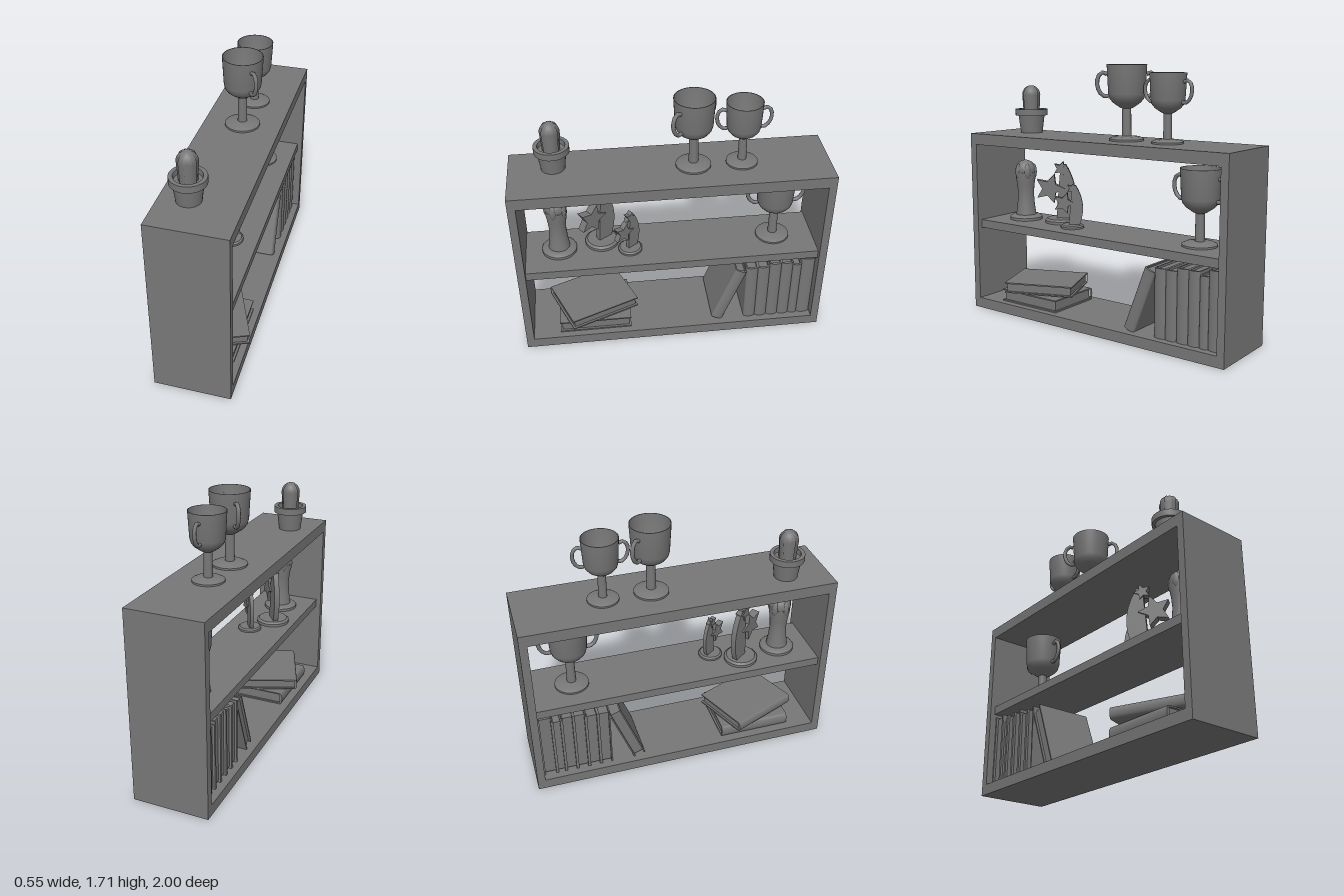
import * as THREE from 'three';
import { toCreasedNormals } from 'three/addons/utils/BufferGeometryUtils.js';

const mat = new THREE.MeshStandardMaterial({ color: 0x777777 });

function add(parent, name, geo, x = 0, y = 0, z = 0) {
  const m = new THREE.Mesh(geo, mat);
  m.name = name;
  m.position.set(x, y, z);
  parent.add(m);
  return m;
}

function group(parent, name, x, y, z) {
  const g = new THREE.Group();
  g.name = name;
  g.position.set(x, y, z);
  parent.add(g);
  return g;
}

const box = (w, h, d) => new THREE.BoxGeometry(w, h, d);

// Turned part from [radius, height] pairs, listed from the bottom up
function turned(pairs, segments = 32) {
  const pts = pairs.map(([r, y]) => new THREE.Vector2(r, y));
  return toCreasedNormals(new THREE.LatheGeometry(pts, segments), 0.6);
}

// Flat shape in the z-y plane, thick along x
function plate(shape, depth) {
  const g = new THREE.ExtrudeGeometry(shape, { depth, bevelEnabled: false, curveSegments: 16 });
  g.translate(0, 0, -depth / 2);
  return g.rotateY(-Math.PI / 2);
}

function starShape(r, turn) {
  const s = new THREE.Shape();
  for (let i = 0; i < 10; i++) {
    const a = turn + i * Math.PI / 5, k = i % 2 ? r * 0.48 : r;
    s[i ? 'lineTo' : 'moveTo'](Math.cos(a) * k, Math.sin(a) * k);
  }
  s.closePath();
  return s;
}

// Thin-walled goblet with two bent handles along its local z axis
function cup(parent, x, y, z, scale, turn) {
  const g = group(parent, 'trophyCup', x, y, z);
  g.scale.setScalar(scale);
  g.rotation.y = turn;
  add(g, 'cupBody', turned([
    [0, 0], [0.11, 0], [0.11, 0.012], [0.085, 0.024], [0.03, 0.03], [0.028, 0.2],
    [0.045, 0.207], [0.088, 0.237], [0.108, 0.262], [0.116, 0.29], [0.126, 0.472],
    [0.122, 0.472], [0.112, 0.292], [0.104, 0.266], [0.084, 0.242], [0.045, 0.215], [0, 0.208],
  ], 40));
  const path = new THREE.CatmullRomCurve3([
    [0.123, 0.412], [0.15, 0.422], [0.177, 0.4], [0.185, 0.35],
    [0.171, 0.305], [0.145, 0.278], [0.113, 0.276],
  ].map(([r, h]) => new THREE.Vector3(0, h, r)));
  for (const side of [0, Math.PI]) {
    const geo = new THREE.TubeGeometry(path, 8, 0.013, 8);
    add(g, 'cupHandle', geo).rotation.y = side;
  }
}

// Curved blade with a large and a small star on a round foot
function starTrophy(parent, x, z, scale) {
  const g = group(parent, 'starTrophy', x, 0.63, z);
  g.scale.setScalar(scale);
  g.rotation.y = 0.63;
  add(g, 'foot', turned([[0, 0], [0.11, 0], [0.11, 0.018], [0.095, 0.03], [0, 0.032]]));
  const blade = new THREE.Shape();
  blade.moveTo(0.03, 0.03);
  blade.lineTo(-0.07, 0.03);
  blade.quadraticCurveTo(-0.145, 0.22, -0.035, 0.4);
  blade.lineTo(0, 0.4);
  blade.quadraticCurveTo(0.02, 0.2, 0.03, 0.03);
  add(g, 'blade', plate(blade, 0.035));
  add(g, 'largeStar', plate(starShape(0.105, Math.PI), 0.055), 0, 0.235, 0.077);
  add(g, 'smallStar', plate(starShape(0.054, 1.9), 0.05), 0, 0.372, 0);
}

// Waisted column whose fingers hold a ball
function ballTrophy(parent, x, z) {
  const g = group(parent, 'ballTrophy', x, 0.63, z);
  add(g, 'column', turned([
    [0, 0], [0.113, 0], [0.113, 0.018], [0.094, 0.032], [0.07, 0.034], [0.061, 0.1],
    [0.055, 0.18], [0.06, 0.24], [0.069, 0.3], [0.07, 0.33], [0, 0.33],
  ]));
  add(g, 'ball', new THREE.SphereGeometry(0.07, 28, 18), 0, 0.346, 0);
  for (let i = 0; i < 5; i++) {
    const a = i * Math.PI * 0.4 + Math.PI / 2;
    const f = add(g, 'finger', new THREE.SphereGeometry(0.025, 14, 10),
      Math.cos(a) * 0.053, 0.335, Math.sin(a) * 0.053);
    f.scale.y = 2.3;
  }
}

// Potted cactus with ten soft ribs
function cactus(parent, x, y, z) {
  const g = group(parent, 'cactus', x, y, z);
  add(g, 'pot', turned([
    [0, 0], [0.075, 0], [0.09, 0.12], [0.11, 0.12], [0.11, 0.163],
    [0.085, 0.163], [0.083, 0.13], [0, 0.13],
  ]));
  const profile = [[0.052, 0.12], [0.06, 0.26]];
  for (let i = 1; i <= 7; i++) {
    const a = i * Math.PI / 14;
    profile.push([0.06 * Math.cos(a), 0.26 + 0.065 * Math.sin(a)]);
  }
  const geo = new THREE.LatheGeometry(profile.map(([r, h]) => new THREE.Vector2(r, h)), 20);
  const p = geo.attributes.position;
  for (let i = 0; i < p.count; i++) {
    const k = Math.floor(i / profile.length) % 2 ? 0.82 : 1.04;
    p.setXYZ(i, p.getX(i) * k, p.getY(i), p.getZ(i) * k);
  }
  add(g, 'ribbedStem', geo);
}

// Book: height along y, thickness along z, rounded spine towards +x
function book(parent, x, y, z, h, t, w = 0.4) {
  const g = group(parent, 'book', x, y, z);
  const bulge = 0.018, c = 0.009;
  for (const s of [-1, 1]) {
    add(g, 'cover', box(w - bulge, h, c), -bulge / 2, 0, s * (t - c) / 2);
  }
  const spine = new THREE.CylinderGeometry(t / 2, t / 2, h, 16, 1, false, 0, Math.PI);
  spine.scale(bulge / (t / 2), 1, 1);
  add(g, 'spine', spine, w / 2 - bulge, 0, 0);
  add(g, 'pages', box(w - bulge - 0.015, h - 0.026, t - 2 * c), -bulge / 2 + 0.0075, 0, 0);
  return g;
}

export function createModel() {
  const model = new THREE.Group();
  model.name = 'bookshelf';

  // Case
  const shelf = group(model, 'case', 0, 0, 0);
  add(shelf, 'bottomBoard', box(0.49, 0.07, 2), 0, 0.035, 0);
  add(shelf, 'topBoard', box(0.49, 0.075, 2), 0, 1.1975, 0);
  add(shelf, 'middleShelf', box(0.425, 0.056, 1.9), 0, 0.602, 0);
  for (const s of [-1, 1]) add(shelf, 'sideBoard', box(0.49, 1.09, 0.05), 0, 0.615, s * 0.975);

  // On top
  cactus(model, -0.07, 1.235, 0.72);
  cup(model, 0, 1.235, -0.143, 1, 0.71);
  cup(model, 0, 1.235, -0.447, 0.9, 0);

  // Middle shelf
  cup(model, 0, 0.632, -0.685, 1, 0);
  ballTrophy(model, -0.01, 0.73);
  starTrophy(model, -0.06, 0.45, 1);
  starTrophy(model, 0.04, 0.27, 0.71);

  // Standing books
  const edges = [-0.486, -0.565, -0.644, -0.723, -0.8, -0.86, -0.948];
  const heights = [0.437, 0.437, 0.46, 0.46, 0.44, 0.482];
  heights.forEach((h, i) => {
    book(model, 0, 0.07 + h / 2, (edges[i] + edges[i + 1]) / 2, h, edges[i] - edges[i + 1]);
  });

  // Leaning book and the two lying ones
  book(model, 0, 0.282, -0.377, 0.435, 0.08).rotation.x = -0.36;
  book(model, 0, 0.113, 0.531, 0.48, 0.084).rotation.set(Math.PI / 2, Math.PI, 0, 'YXZ');
  book(model, 0, 0.197, 0.533, 0.477, 0.072, 0.402).rotation.set(Math.PI / 2, Math.PI + 0.39, 0, 'YXZ');
  return model;
}
